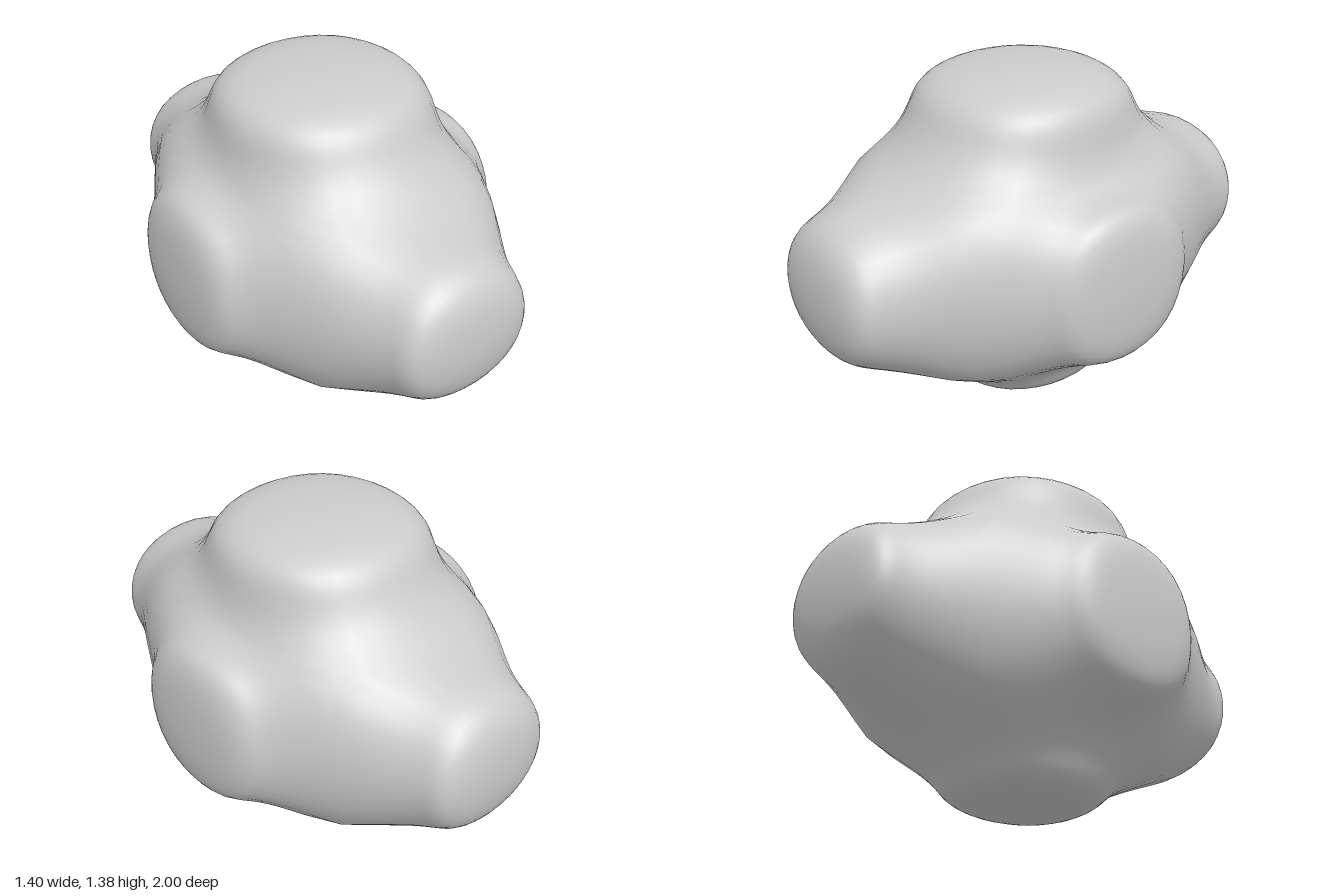
import * as THREE from 'three';

// One smoothing step: every quad is split in four and all corners are averaged (Catmull-Clark)
function subdivide({ verts, quads }) {
  const mean = (list) => list.reduce((s, v) => s.add(v), new THREE.Vector3()).divideScalar(list.length);
  const edges = new Map();
  const around = verts.map(() => ({ faces: [], mids: [] }));
  const centres = quads.map((q) => mean(q.map((i) => verts[i])));
  const edgeKey = (a, b) => Math.min(a, b) + '_' + Math.max(a, b);
  quads.forEach((q, f) => q.forEach((a, k) => {
    const b = q[(k + 1) % 4];
    const key = edgeKey(a, b);
    if (!edges.has(key)) edges.set(key, { a, b, faces: [] });
    edges.get(key).faces.push(centres[f]);
    around[a].faces.push(centres[f]);
  }));
  for (const e of edges.values()) {
    const mid = mean([verts[e.a], verts[e.b]]);
    around[e.a].mids.push(mid);
    around[e.b].mids.push(mid);
  }
  const out = verts.map((v, i) => {
    const n = around[i].faces.length;
    return mean(around[i].faces).addScaledVector(mean(around[i].mids), 2)
      .addScaledVector(v, n - 3).divideScalar(n);
  });
  for (const e of edges.values()) {
    e.index = out.push(mean([verts[e.a], verts[e.b], ...e.faces])) - 1;
  }
  const edgeIndex = (a, b) => edges.get(edgeKey(a, b)).index;
  const next = [];
  quads.forEach((q, f) => {
    const c = out.push(centres[f]) - 1;
    q.forEach((a, k) => next.push([a, edgeIndex(a, q[(k + 1) % 4]), c, edgeIndex(q[(k + 3) % 4], a)]));
  });
  return { verts: out, quads: next };
}

// Coarse cage: a core box with a round-shouldered stub pushed out of each of its six sides
function lobedCage() {
  const verts = [];
  const quads = [];
  const addQuad = (q) => {
    const [a, b, c, d] = q.map((i) => verts[i]);
    const normal = c.clone().sub(a).cross(d.clone().sub(b));
    const centre = a.clone().add(b).add(c).add(d);
    quads.push(normal.dot(centre) > 0 ? q : [...q].reverse());
  };
  // core corners, numbered by sign bits x, y, z; narrower below
  for (let i = 0; i < 8; i++) {
    const x = i & 2 ? 0.495 : 0.43;
    verts.push(new THREE.Vector3(i & 1 ? x : -x, i & 2 ? 0.375 : -0.425, i & 4 ? 0.635 : -0.63));
  }
  // stubs: axis, direction, then shoulder and end as corner points (x, y, z)
  const side = [[0.6, 0.375, 0.354], [0.709, 0.3, 0.31]];
  const end = [[0.318, 0.343, 0.86], [0.32, 0.22, 1.012]];
  const stubs = [
    [0, 1, side], [0, -1, side],
    [1, 1, [[0.47, 0.56, 0.475], [0.4, 0.75, 0.4]]],
    [1, -1, [[0.36, 0.53, 0.376], [0.28, 0.655, 0.31]]],
    [2, 1, end], [2, -1, end],
  ];
  for (const [axis, dir, rings] of stubs) {
    const u = 1 << ((axis + 1) % 3);
    const v = 1 << ((axis + 2) % 3);
    const base = dir > 0 ? 1 << axis : 0;
    const corners = [base, base + u, base + u + v, base + v];
    let ring = corners;
    for (const point of rings) {
      const outer = corners.map((i) => {
        const p = point.map((h, k) => (i & (1 << k) ? h : -h));
        return verts.push(new THREE.Vector3(...p)) - 1;
      });
      for (let k = 0; k < 4; k++) {
        const m = (k + 1) % 4;
        addQuad([ring[k], ring[m], outer[m], outer[k]]);
      }
      ring = outer;
    }
    addQuad(ring);
  }
  return { verts, quads };
}

export function createModel() {
  let cage = lobedCage();
  for (let i = 0; i < 3; i++) cage = subdivide(cage);

  const geometry = new THREE.BufferGeometry().setFromPoints(cage.verts);
  geometry.setIndex(cage.quads.flatMap(([a, b, c, d]) => [a, b, c, a, c, d]));
  geometry.computeVertexNormals();

  const rock = new THREE.Mesh(geometry, new THREE.MeshStandardMaterial({ color: 0xcccccc }));
  rock.name = 'lobedRock';
  rock.position.y = 0.645; // lowest lobe rests on the ground
  const group = new THREE.Group();
  group.name = 'rock';
  group.add(rock);
  return group;
}
